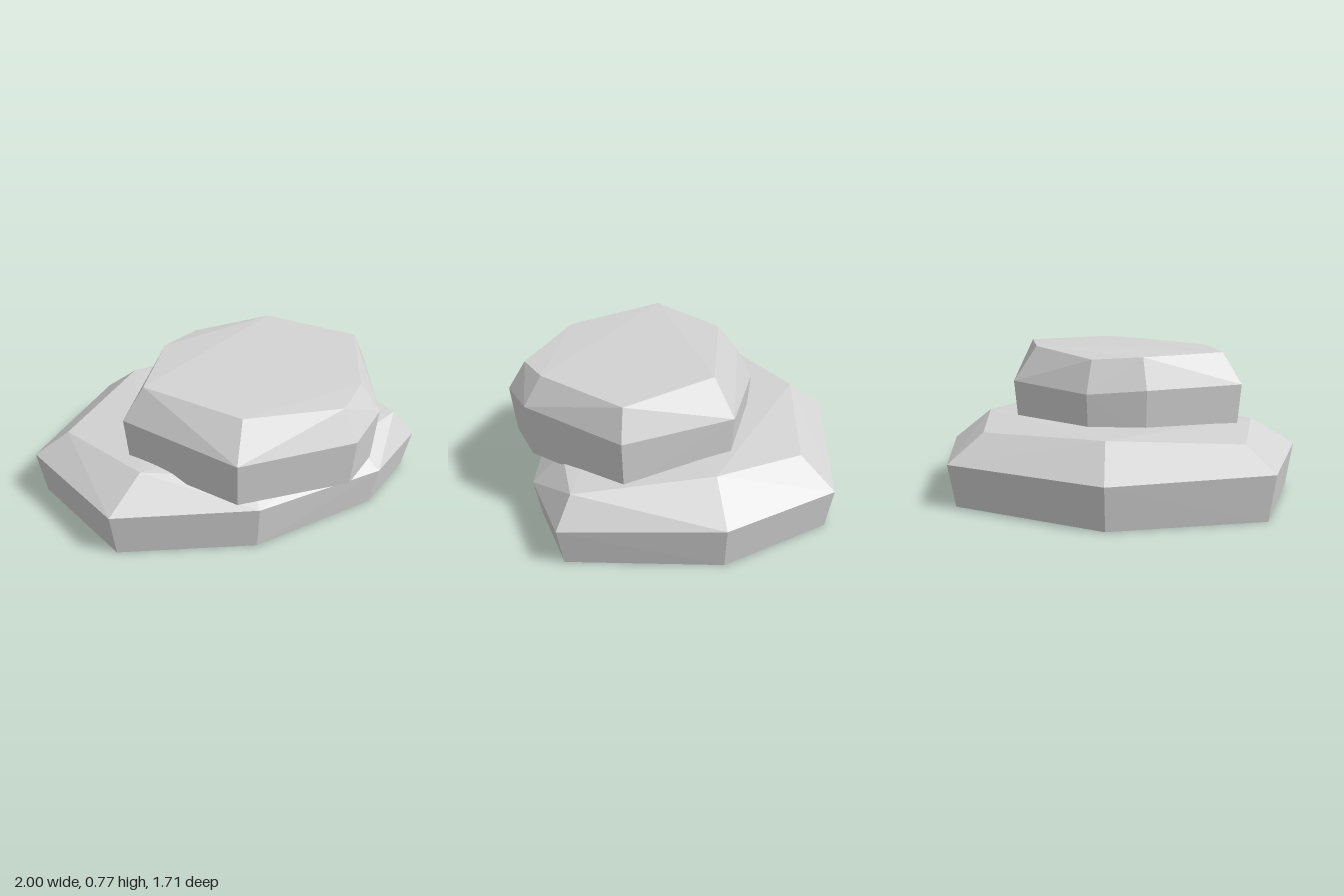
import * as THREE from 'three';
import { ConvexGeometry } from 'three/addons/geometries/ConvexGeometry.js';

const stone = new THREE.MeshStandardMaterial({ color: 0xd3d3d3 });
stone.name = 'stone grey';

// A faceted stone: the widest ring, a bevelled top ring and a slightly tapered base
function makeStone(name, middle, top, baseY, centre, taper) {
  const base = middle.map(([x, , z]) => [
    centre[0] + (x - centre[0]) * taper, baseY, centre[1] + (z - centre[1]) * taper,
  ]);
  const points = [...base, ...middle, ...top].map((p) => new THREE.Vector3(...p));
  const mesh = new THREE.Mesh(new ConvexGeometry(points), stone);
  mesh.name = name;
  return mesh;
}

export function createModel() {
  const group = new THREE.Group();
  group.name = 'stackedStones';

  // Wide slab on the ground
  group.add(makeStone('lowerStone', [
    [-1, 0.24, -0.21], [-0.82, 0.24, 0.48], [-0.13, 0.245, 0.74], [0.62, 0.21, 0.67],
    [1, 0.21, 0.445], [0.91, 0.23, -0.355], [0.51, 0.225, -0.855], [-0.39, 0.225, -0.78],
  ], [
    [-0.82, 0.36, -0.17], [-0.61, 0.38, 0.37], [-0.1, 0.34, 0.58], [0.53, 0.345, 0.53],
    [0.89, 0.355, 0.395], [0.71, 0.4, -0.28], [0.42, 0.37, -0.675], [-0.28, 0.395, -0.6],
  ], 0, [0, 0], 0.96));

  // Smaller stone resting on it, overhanging the front
  group.add(makeStone('upperStone', [
    [-0.625, 0.59, 0.2], [-0.275, 0.57, 0.775], [0.325, 0.585, 0.855], [0.555, 0.615, 0.7],
    [0.82, 0.605, 0.155], [0.485, 0.59, -0.34], [-0.025, 0.565, -0.385], [-0.29, 0.585, -0.225],
  ], [
    [-0.51, 0.755, 0.2], [-0.185, 0.735, 0.645], [0.3, 0.735, 0.765], [0.48, 0.755, 0.625],
    [0.74, 0.76, 0.16], [0.41, 0.775, -0.23], [-0.005, 0.735, -0.305], [-0.24, 0.75, -0.18],
  ], 0.335, [0.1, 0.2], 0.965));

  return group;
}
